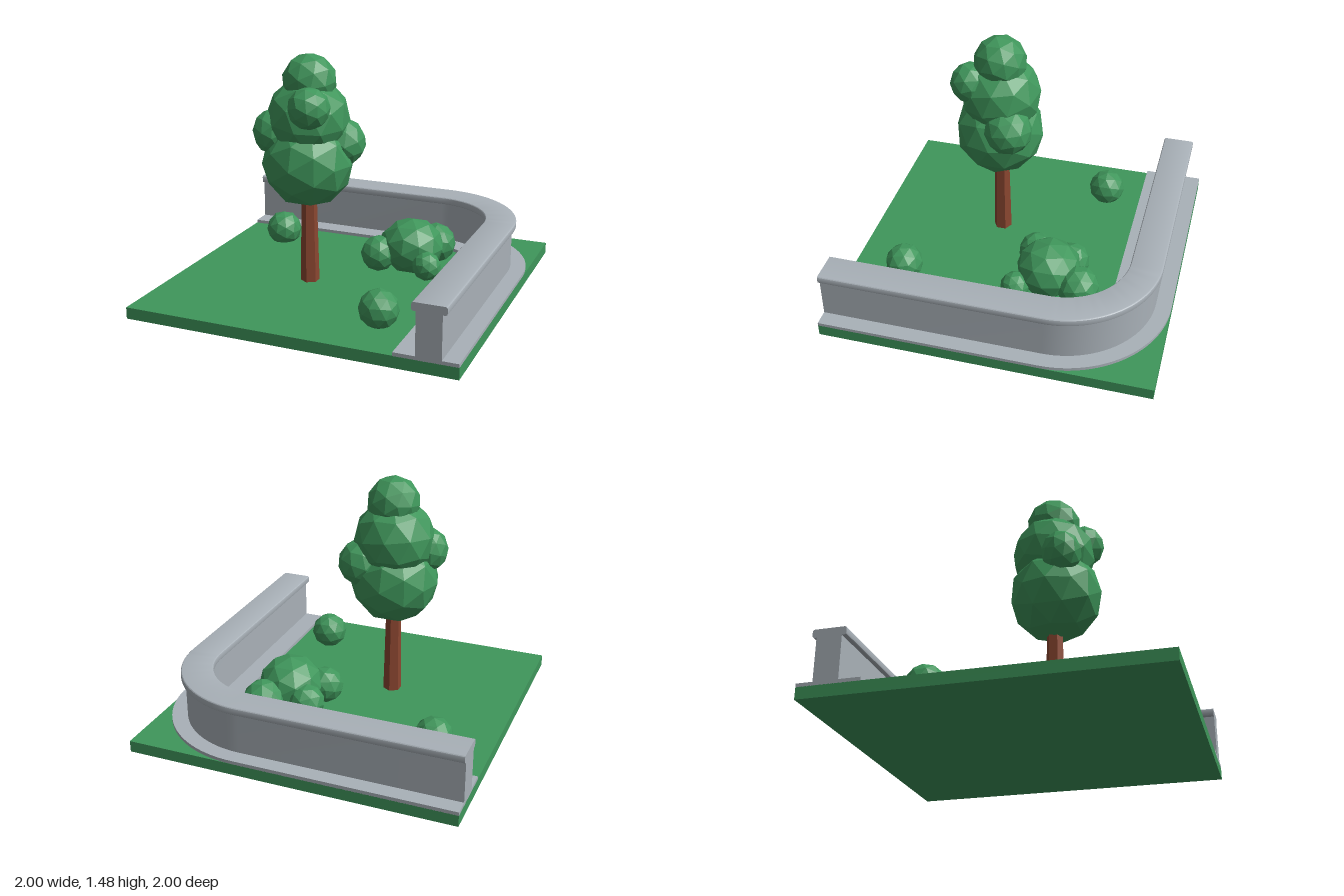
import * as THREE from 'three';
import { toCreasedNormals } from 'three/addons/utils/BufferGeometryUtils.js';

const mat = (name, color, flatShading = false) => {
  const m = new THREE.MeshStandardMaterial({ color, flatShading });
  m.name = name;
  return m;
};

// Sweep a counter-clockwise (radius, height) profile along a straight, a quarter bend and a straight.
function sweepWall(profile, centre, arcSteps) {
  const stations = [r => [-1, -centre - r]];
  for (let i = 0; i <= arcSteps; i++) {
    const a = (i / arcSteps) * Math.PI / 2;
    stations.push(r => [centre + r * Math.sin(a), -centre - r * Math.cos(a)]);
  }
  stations.push(r => [centre + r, 1]);
  const pos = [], index = [], n = profile.length;
  for (const at of stations) {
    for (const [r, y] of profile) {
      const [x, z] = at(r);
      pos.push(x, y, z);
    }
  }
  for (let s = 0; s < stations.length - 1; s++) {
    for (let i = 0; i < n; i++) {
      const a = s * n + i, b = s * n + (i + 1) % n;
      index.push(a, b, a + n, b, b + n, a + n);
    }
  }
  // Close both ends
  const last = (stations.length - 1) * n;
  const outline = profile.map(([r, y]) => new THREE.Vector2(r, y));
  for (const [a, b, c] of THREE.ShapeUtils.triangulateShape(outline, [])) {
    index.push(a, c, b, last + a, last + b, last + c);
  }
  const geo = new THREE.BufferGeometry();
  geo.setAttribute('position', new THREE.Float32BufferAttribute(pos, 3));
  geo.setIndex(index);
  return toCreasedNormals(geo, 0.5);
}

export function createModel() {
  const model = new THREE.Group();
  model.name = 'gardenCorner';
  const green = mat('green', 0x3f965b, true);
  const bark = mat('bark', 0x8a4630, true);
  const stone = mat('stone', 0xa9b1b8);

  const add = (parent, name, geo, material, x = 0, y = 0, z = 0) => {
    const mesh = new THREE.Mesh(geo, material);
    mesh.name = name;
    mesh.position.set(x, y, z);
    parent.add(mesh);
    return mesh;
  };
  const group = name => {
    const g = new THREE.Group();
    g.name = name;
    model.add(g);
    return g;
  };

  // Faceted leaf clumps: [x, y, z, horizontal radius, vertical radius]
  const clumps = (parent, name, list) => list.forEach(([x, y, z, r, ry = r], i) => {
    const geo = new THREE.IcosahedronGeometry(1, 1);
    geo.rotateY(i * 1.3).rotateX(i * 0.7).scale(r, ry, r);
    add(parent, name + (i + 1), geo, green, x, y, z);
  });

  // Lawn slab
  add(model, 'lawn', new THREE.BoxGeometry(2, 0.07, 2), green, 0, 0.035, 0);

  // Curved wall: footing, upright and rounded coping
  const wall = group('wall');
  const C = 0.335;
  const rect = (x0, x1, y0, y1) => [[x0 - C, y0], [x1 - C, y0], [x1 - C, y1], [x0 - C, y1]];
  const rounded = (x0, x1, y0, y1, b) => {
    const pts = [];
    const corners = [[x1 - b, y0 + b, -1], [x1 - b, y1 - b, 0], [x0 + b, y1 - b, 1], [x0 + b, y0 + b, 2]];
    for (const [x, y, q] of corners) {
      for (let k = 0; k <= 3; k++) {
        const a = (q + k / 3) * Math.PI / 2;
        pts.push([x - C + b * Math.cos(a), y + b * Math.sin(a)]);
      }
    }
    return pts;
  };
  add(wall, 'footing', sweepWall(rect(0.635, 1, 0.068, 0.09), C, 24), stone);
  add(wall, 'upright', sweepWall(rect(0.76, 0.905, 0.085, 0.35), C, 24), stone);
  add(wall, 'coping', sweepWall(rounded(0.735, 0.93, 0.342, 0.39, 0.012), C, 24), stone);

  // Tree
  const tree = group('tree');
  add(tree, 'trunk', new THREE.CylinderGeometry(0.046, 0.058, 0.56, 6), bark, -0.2, 0.34, 0.2);
  clumps(tree, 'crown', [
    [-0.2, 0.825, 0.21, 0.275],
    [-0.2, 1.09, 0.2, 0.25],
    [-0.19, 1.315, 0.2, 0.163],
    [-0.39, 1.01, 0.29, 0.12, 0.137],
    [-0.025, 0.94, 0.11, 0.148],
    [-0.12, 1.185, 0.365, 0.127],
  ]);

  // Shrub cluster by the wall corner
  clumps(group('shrubCluster'), 'shrub', [
    [0.31, 0.215, -0.235, 0.2, 0.177],
    [0.4, 0.18, -0.435, 0.13],
    [0.16, 0.17, -0.345, 0.112],
    [0.13, 0.18, -0.115, 0.113],
    [0.465, 0.16, -0.06, 0.09],
  ]);

  // Single bushes
  clumps(group('bushes'), 'bush', [
    [-0.67, 0.147, -0.405, 0.117],
    [0.43, 0.163, 0.66, 0.117],
  ]);

  return model;
}
